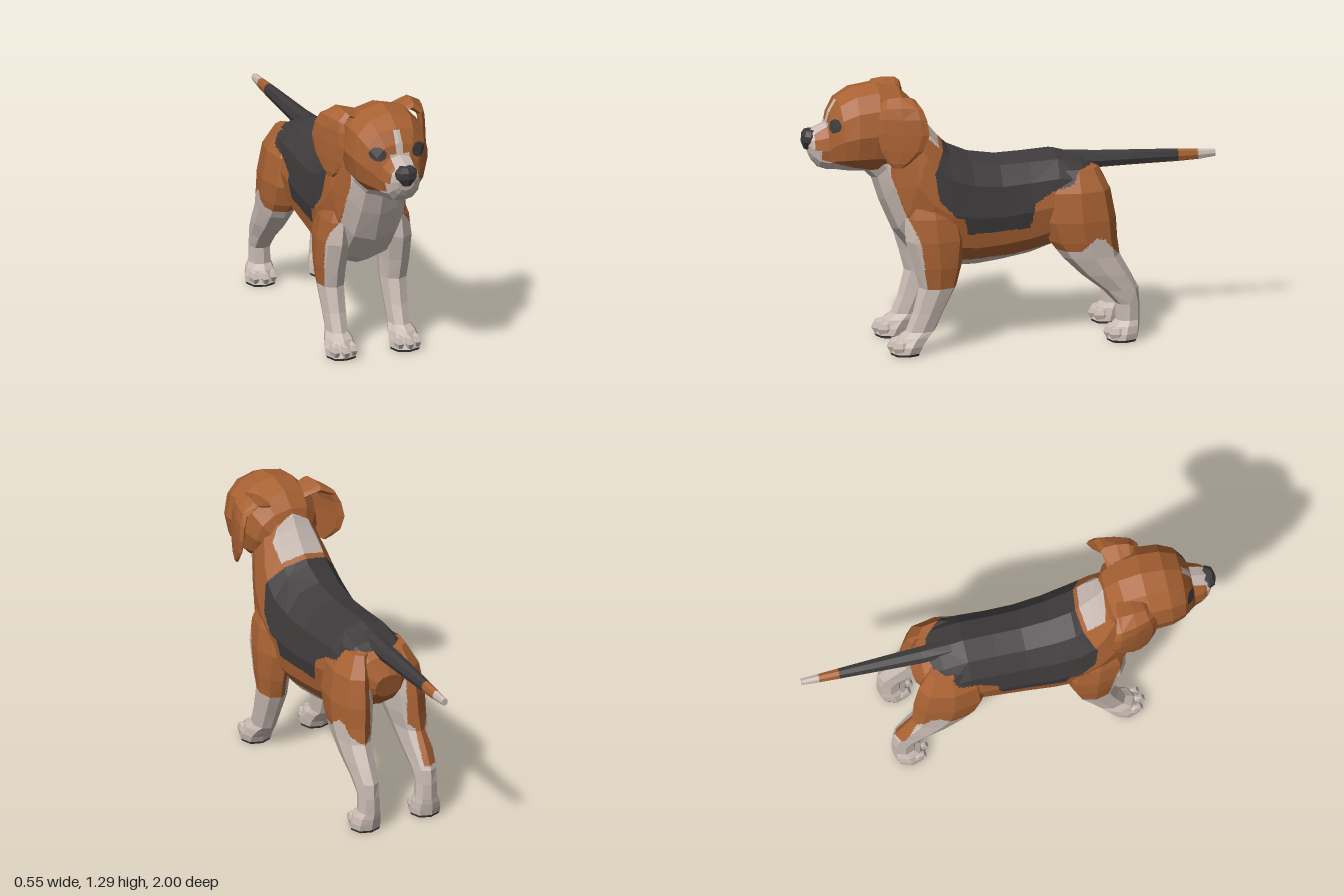
import * as THREE from 'three';

const V = (x, y, z) => new THREE.Vector3(x, y, z);
const mat = (name, color) => Object.assign(new THREE.MeshStandardMaterial({ color }), { name });

// One ring of points around a centre, spanned by two half axes; a lower power is squarer
function ring(c, a, b, n, power = 0.88) {
  const soft = t => Math.sign(t) * Math.abs(t) ** power;
  return Array.from({ length: n }, (_, i) => {
    const t = (i / n) * Math.PI * 2;
    return c.clone().addScaledVector(a, soft(Math.cos(t))).addScaledVector(b, soft(Math.sin(t)));
  });
}

// Ring through a top and a bottom point of the side profile, with half width w
function profileRing([tz, ty, bz, by, w], n) {
  return ring(V(0, (ty + by) / 2, (tz + bz) / 2), V(w, 0, 0), V(0, (ty - by) / 2, (tz - bz) / 2), n);
}

// Level ring for a leg; s = 1 left, -1 right
function legRing([y, zf, zb, xi, xo], s, n) {
  return ring(V(s * (xi + xo) / 2, y, (zf + zb) / 2), V((xo - xi) / 2, 0, 0), V(0, 0, (zf - zb) / 2), n);
}

// Skin the rings with flat facets; facets crossed by a colour edge are cut finely along it
function loft(name, rings, materials, pick, cuts) {
  const tris = [], n = rings[0].length;
  for (let r = 0; r < rings.length - 1; r++) {
    for (let i = 0; i < n; i++) {
      const j = (i + 1) % n;
      const a = rings[r][i], b = rings[r][j], c = rings[r + 1][j], d = rings[r + 1][i];
      if ((i + r) % 2) tris.push([a, b, c], [a, c, d]);
      else tris.push([a, b, d], [b, c, d]);
    }
  }
  const cap = (pts, flip) => {
    const m = pts.reduce((s, p) => s.add(p), V(0, 0, 0)).divideScalar(n);
    pts.forEach((p, i) => tris.push(flip ? [m, pts[(i + 1) % n], p] : [m, p, pts[(i + 1) % n]]));
  };
  cap(rings[0], true);
  cap(rings[rings.length - 1], false);
  // turn the skin outwards
  const volume = tris.reduce((s, [a, b, c]) => s + a.dot(b.clone().cross(c)), 0);
  if (volume < 0) tris.forEach(t => t.reverse());

  const buckets = materials.map(() => []);
  for (const [a, b, c] of tris) {
    const at = (i, j) => a.clone().multiplyScalar(cuts - i - j).addScaledVector(b, i).addScaledVector(c, j).divideScalar(cuts);
    const pieces = [];
    const add = (p, q, r) => pieces.push([pick(p.clone().add(q).add(r).divideScalar(3)), p, q, r]);
    for (let i = 0; i < cuts; i++) {
      for (let j = 0; j < cuts - i; j++) {
        add(at(i, j), at(i + 1, j), at(i, j + 1));
        if (i + j < cuts - 1) add(at(i + 1, j), at(i + 1, j + 1), at(i, j + 1));
      }
    }
    const first = pieces[0][0];
    if (pieces.every(p => p[0] === first)) buckets[first].push(...a, ...b, ...c);
    else pieces.forEach(([k, p, q, r]) => buckets[k].push(...p, ...q, ...r));
  }
  const geo = new THREE.BufferGeometry();
  geo.setAttribute('position', new THREE.Float32BufferAttribute(buckets.flat(), 3));
  let start = 0;
  buckets.forEach((b, i) => {
    if (b.length) geo.addGroup(start, b.length / 3, i);
    start += b.length / 3;
  });
  geo.computeVertexNormals();
  const mesh = new THREE.Mesh(geo, materials);
  mesh.name = name;
  return mesh;
}

// Is (z, y) inside a side-view patch?
function inside(poly, z, y) {
  let hit = false;
  poly.forEach(([z1, y1], i) => {
    const [z2, y2] = poly[(i + 1) % poly.length];
    if ((y1 > y) !== (y2 > y) && z < z1 + ((y - y1) / (y2 - y1)) * (z2 - z1)) hit = !hit;
  });
  return hit;
}

// Straight-line interpolation through [input, output] pairs
function along(pts, t) {
  for (let i = 0; i < pts.length - 1; i++) {
    const [a, u] = pts[i], [b, v] = pts[i + 1];
    if (t <= b) return u + (v - u) * Math.max(0, (t - a) / (b - a));
  }
  return pts[pts.length - 1][1];
}

const TAN = 0, WHITE = 1, DARK = 2;
const saddle = [[0.31, 1.02], [0.39, 0.88], [0.375, 0.75], [0.29, 0.66], [0.25, 0.65], [0.235, 0.57],
  [-0.07, 0.58], [-0.095, 0.7], [-0.18, 0.75], [-0.285, 0.78], [-0.4, 0.85], [-0.4, 1.02]];
const nape = [[0.45, 1.2], [0.335, 1.03], [0.36, 0.98], [0.455, 0.95], [0.44, 1.05], [0.46, 1.2]];
const chestEdge = [[0.31, 0.435], [0.55, 0.465], [0.7, 0.535], [0.87, 0.595]];
const bellyEdge = [[-0.25, 0.49], [0, 0.44], [0.28, 0.43]];
const thighEdge = [[-0.6, 0.38], [-0.49, 0.43], [-0.42, 0.51], [-0.375, 0.52], [-0.31, 0.46], [-0.1, 0.46]];

// Coat patches
const inSaddle = p => inside(saddle, p.z, p.y) && p.z > -0.46 + Math.abs(p.x);
const inNape = p => Math.abs(p.x) < 0.115 && inside(nape, p.z, p.y);
function coat(p) {
  if (inNape(p) || p.z > along(chestEdge, p.y)) return WHITE;
  if (inSaddle(p)) return DARK;
  const chest = p.z > 0.28 && Math.abs(p.x) < 0.17;
  return p.y < (chest ? 0.56 : along(bellyEdge, p.z)) ? WHITE : TAN;
}
function frontLegCoat(p) {
  if (p.y < 0.012) return DARK;
  if (p.y < 0.32 || Math.abs(p.x) < 0.13 || p.z > along(chestEdge, p.y)) return WHITE;
  return inSaddle(p) ? DARK : TAN;
}
function hindLegCoat(p) {
  if (p.y < 0.012) return DARK;
  // streak down the back of the right leg
  if (p.x < -0.13 && p.y > 0.27 && p.z < -0.47 - (0.45 - p.y) * 0.45) return TAN;
  if (p.y < along(thighEdge, p.z) || (Math.abs(p.x) < 0.1 && p.y < 0.68)) return WHITE;
  return inSaddle(p) ? DARK : TAN;
}
function headCoat(p) {
  const x = Math.abs(p.x);
  // eyes
  if (p.z > 0.76 && Math.hypot((x - 0.102) / 0.037, (p.y - 1.122) / 0.032) < 1) return DARK;
  // blaze, bridge and muzzle
  if (p.z > 0.7 && x < 0.018 && p.y > 1.1 && p.y < 1.225) return WHITE;
  if (p.z > 0.85 && x < 0.048 && p.y < 1.12) return WHITE;
  if (p.z > 0.945 || (p.z > 0.915 && p.y < 1.0) || inNape(p)) return WHITE;
  return p.z > 0.58 && p.y < 0.91 + (p.z - 0.74) * 0.25 ? WHITE : TAN;
}
function tailCoat(p) {
  if (p.z < -0.915) return WHITE;
  return p.z < -0.82 || p.y < 0.815 ? TAN : DARK;
}

export function createModel() {
  const dog = new THREE.Group();
  dog.name = 'dog';
  const materials = [mat('tan fur', 0xa96233), mat('white fur', 0xcabcb4), mat('dark fur', 0x3f3b3c)];

  // Torso and neck: top z, top y, bottom z, bottom y, half width
  const torso = [[-0.475, 0.74, -0.45, 0.62, 0.07], [-0.43, 0.83, -0.38, 0.55, 0.15], [-0.34, 0.88, -0.28, 0.5, 0.19],
    [-0.22, 0.915, -0.19, 0.45, 0.19], [-0.08, 0.91, -0.08, 0.41, 0.187], [0.06, 0.907, 0.06, 0.385, 0.19],
    [0.2, 0.93, 0.18, 0.37, 0.2], [0.3, 0.975, 0.32, 0.375, 0.208], [0.345, 1.02, 0.46, 0.44, 0.203],
    [0.385, 1.07, 0.56, 0.57, 0.19], [0.42, 1.12, 0.625, 0.72, 0.165], [0.45, 1.17, 0.66, 0.83, 0.148], [0.5, 1.2, 0.71, 0.88, 0.14]];
  dog.add(loft('torso', torso.map(r => profileRing(r, 12)), materials, coat, 14));

  // Head and muzzle
  const head = [[0.44, 1.13, 0.52, 0.93, 0.12], [0.465, 1.2, 0.56, 0.9, 0.163], [0.53, 1.265, 0.62, 0.875, 0.185],
    [0.64, 1.295, 0.69, 0.87, 0.193], [0.75, 1.28, 0.76, 0.873, 0.187], [0.83, 1.235, 0.81, 0.878, 0.162],
    [0.868, 1.17, 0.85, 0.885, 0.125], [0.882, 1.115, 0.88, 0.885, 0.1], [0.93, 1.095, 0.92, 0.9, 0.086],
    [0.96, 1.08, 0.95, 0.935, 0.067], [0.975, 1.06, 0.965, 0.965, 0.04]];
  dog.add(loft('head', head.map(r => profileRing(r, 12)), materials, headCoat, 16));

  // Nose, narrowing downwards
  const nose = [[1.083, 0.985, 0.93, 0.032], [1.06, 0.998, 0.92, 0.056], [1.03, 1, 0.92, 0.053], [0.992, 0.985, 0.93, 0.024]];
  dog.add(loft('nose', nose.map(([y, zf, zb, w]) => legRing([y, zf, zb, -w, w], 1, 8)), materials, () => DARK, 1));

  // Tail: z, centre y, half width, half height
  const tail = [[-0.28, 0.865, 0.045, 0.035], [-0.42, 0.845, 0.042, 0.043], [-0.6, 0.842, 0.035, 0.037],
    [-0.82, 0.837, 0.024, 0.031], [-0.93, 0.835, 0.019, 0.025], [-1, 0.837, 0.016, 0.018]];
  dog.add(loft('tail', tail.map(([z, y, w, h]) => ring(V(0, y, z), V(w, 0, 0), V(0, h, 0), 8)), materials, tailCoat, 12));

  // Legs: y, front z, back z, inner x, outer x
  const frontLeg = [[0.8, 0.49, 0.32, 0.06, 0.163], [0.66, 0.53, 0.26, 0.08, 0.213], [0.55, 0.53, 0.24, 0.08, 0.23],
    [0.42, 0.49, 0.26, 0.09, 0.23], [0.32, 0.465, 0.285, 0.095, 0.22], [0.2, 0.495, 0.345, 0.1, 0.212],
    [0.11, 0.53, 0.385, 0.105, 0.207], [0.085, 0.565, 0.41, 0.092, 0.225], [0.045, 0.59, 0.44, 0.086, 0.237],
    [0.012, 0.605, 0.455, 0.086, 0.235], [0, 0.6, 0.46, 0.09, 0.23]];
  const hindLeg = [[0.84, -0.21, -0.41, 0.05, 0.15], [0.74, -0.15, -0.465, 0.05, 0.207], [0.6, -0.135, -0.49, 0.05, 0.23],
    [0.5, -0.17, -0.495, 0.06, 0.23], [0.42, -0.23, -0.505, 0.08, 0.225], [0.33, -0.32, -0.555, 0.09, 0.22],
    [0.25, -0.42, -0.595, 0.1, 0.21], [0.18, -0.485, -0.6, 0.105, 0.205], [0.1, -0.485, -0.6, 0.1, 0.207],
    [0.075, -0.46, -0.6, 0.092, 0.225], [0.04, -0.448, -0.595, 0.088, 0.235], [0.012, -0.438, -0.59, 0.088, 0.235],
    [0, -0.445, -0.585, 0.092, 0.23]];
  // Ears: y, front x, front z, back x, back z, half thickness, upward lean of the outer face
  const ear = [[1.22, 0.09, 0.63, 0.09, 0.5, 0.025, 3], [1.245, 0.16, 0.64, 0.17, 0.485, 0.024, 1.5],
    [1.215, 0.194, 0.655, 0.24, 0.465, 0.02, 0.6], [1.17, 0.197, 0.67, 0.262, 0.45, 0.018, 0.2],
    [1.1, 0.2, 0.675, 0.274, 0.44, 0.016, 0], [1.02, 0.207, 0.66, 0.268, 0.47, 0.015, 0],
    [0.96, 0.217, 0.63, 0.25, 0.53, 0.012, 0], [0.935, 0.225, 0.6, 0.238, 0.56, 0.008, 0]];

  const toeShape = new THREE.SphereGeometry(1, 6, 4).toNonIndexed();
  toeShape.computeVertexNormals();

  for (const s of [1, -1]) {
    const side = s > 0 ? 'left' : 'right';
    dog.add(loft(side + 'FrontLeg', frontLeg.map(r => legRing(r, s, 8)), materials, frontLegCoat, 10));
    dog.add(loft(side + 'HindLeg', hindLeg.map(r => legRing(r, s, 8)), materials, hindLegCoat, 10));
    dog.add(loft(side + 'Ear', ear.map(([y, xf, zf, xb, zb, t, lean]) => {
      const half = V(s * (xf - xb) / 2, 0, (zf - zb) / 2);
      const thick = V(half.z, s * lean * half.z, -half.x).setLength(t);
      return ring(V(s * (xf + xb) / 2, y, (zf + zb) / 2), half, thick, 8);
    }), materials, () => TAN, 1));

    // Toes
    for (const z of [0.575, -0.47]) {
      for (const x of [0.118, 0.161, 0.204]) {
        const toe = new THREE.Mesh(toeShape, materials[WHITE]);
        toe.scale.set(0.025, 0.036, 0.05);
        toe.position.set(s * x, 0.042, z - Math.abs(x - 0.161) * 0.4);
        toe.name = 'toe';
        dog.add(toe);
      }
    }
  }
  return dog;
}
